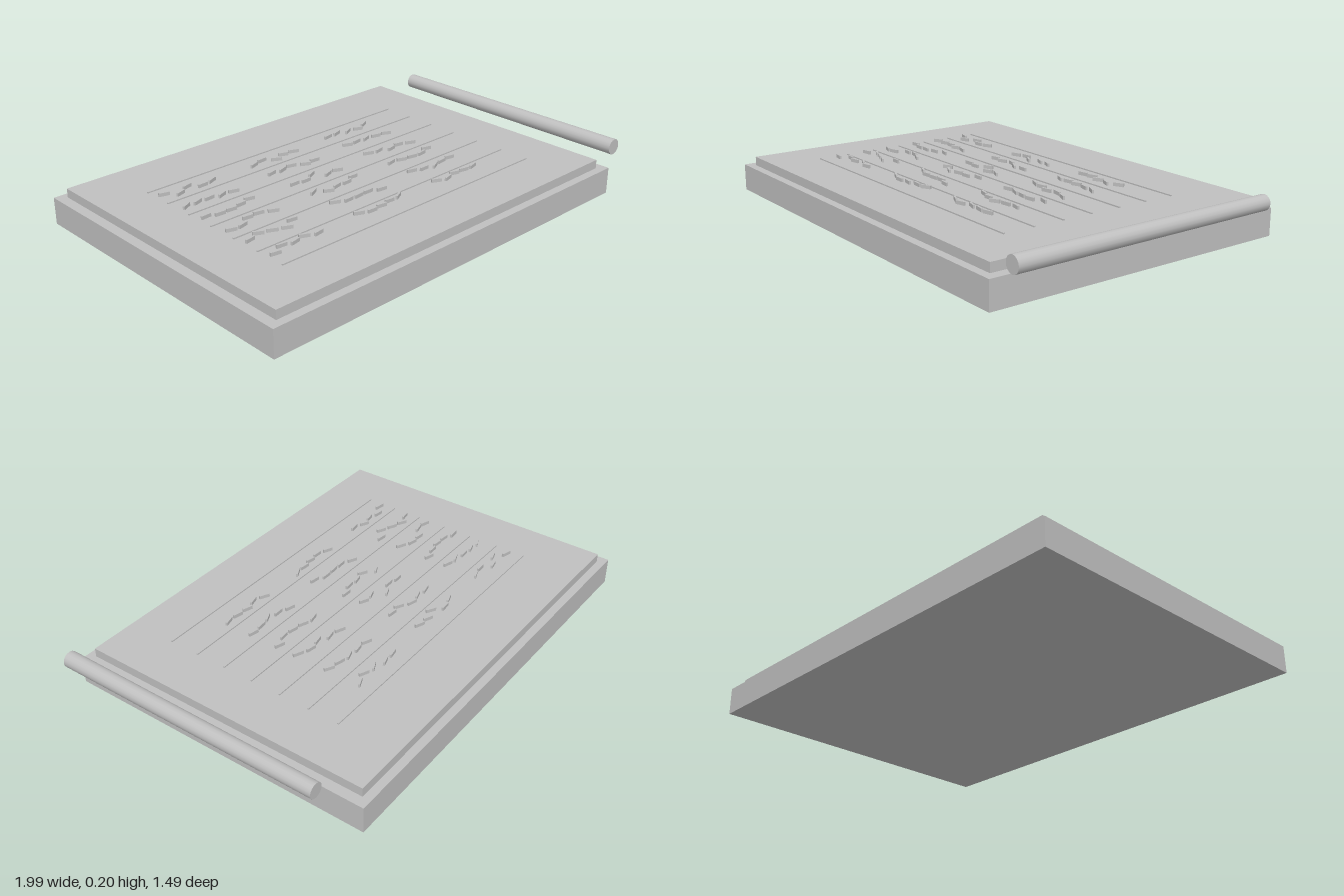
import * as THREE from 'three';

const TILT = 0.13;

export function createModel() {
  const clay = new THREE.MeshStandardMaterial({ color: 0xc0c0c0 });
  clay.name = 'clayGrey';

  const model = new THREE.Group();
  model.name = 'writingTablet';

  // Everything on the board shares its slight turn
  const board = new THREE.Group();
  board.name = 'board';
  board.position.x = -0.05;
  board.rotation.y = TILT;
  model.add(board);

  function box(name, w, h, d, x, y, z, turn = 0) {
    const mesh = new THREE.Mesh(new THREE.BoxGeometry(w, h, d), clay);
    mesh.name = name;
    mesh.position.set(x, y + h / 2, z);
    mesh.rotation.y = turn;
    board.add(mesh);
  }

  // Thick base and the slightly smaller slab on top
  const baseTop = 0.108, slabTop = 0.144;
  box('base', 1.738, baseTop, 1.273, 0, 0, 0);
  box('slab', 1.658, slabTop - baseTop, 1.207, 0, baseTop, 0);

  // Seven ruled lines
  for (let i = 0; i < 7; i++) {
    box('ruledLine', 1.268, 0.005, 0.006, 0, slabTop, -0.361 + i * 0.1275);
  }

  // Seeded jitter for the hand-made strokes
  let seed = 17;
  const jitter = (range) => {
    seed = (seed * 16807) % 2147483647;
    return (seed / 2147483647 * 2 - 1) * range;
  };

  // Six rows of three words, five short strokes each
  for (let row = 0; row < 6; row++) {
    for (const centre of [-0.5, -0.09, 0.317]) {
      for (let i = -2; i <= 2; i++) {
        box('stroke', 0.042, 0.014, 0.008,
          centre + i * 0.051, slabTop, -0.281 + row * 0.12 + jitter(0.02), jitter(0.5));
      }
    }
  }

  // Round stylus lying beside the board
  const stylus = new THREE.Mesh(
    new THREE.CylinderGeometry(0.032, 0.03, 1.11, 16).rotateX(Math.PI / 2), clay);
  stylus.name = 'stylus';
  stylus.position.set(0.89, 0.168, -0.073);
  stylus.rotation.y = TILT;
  model.add(stylus);

  return model;
}
